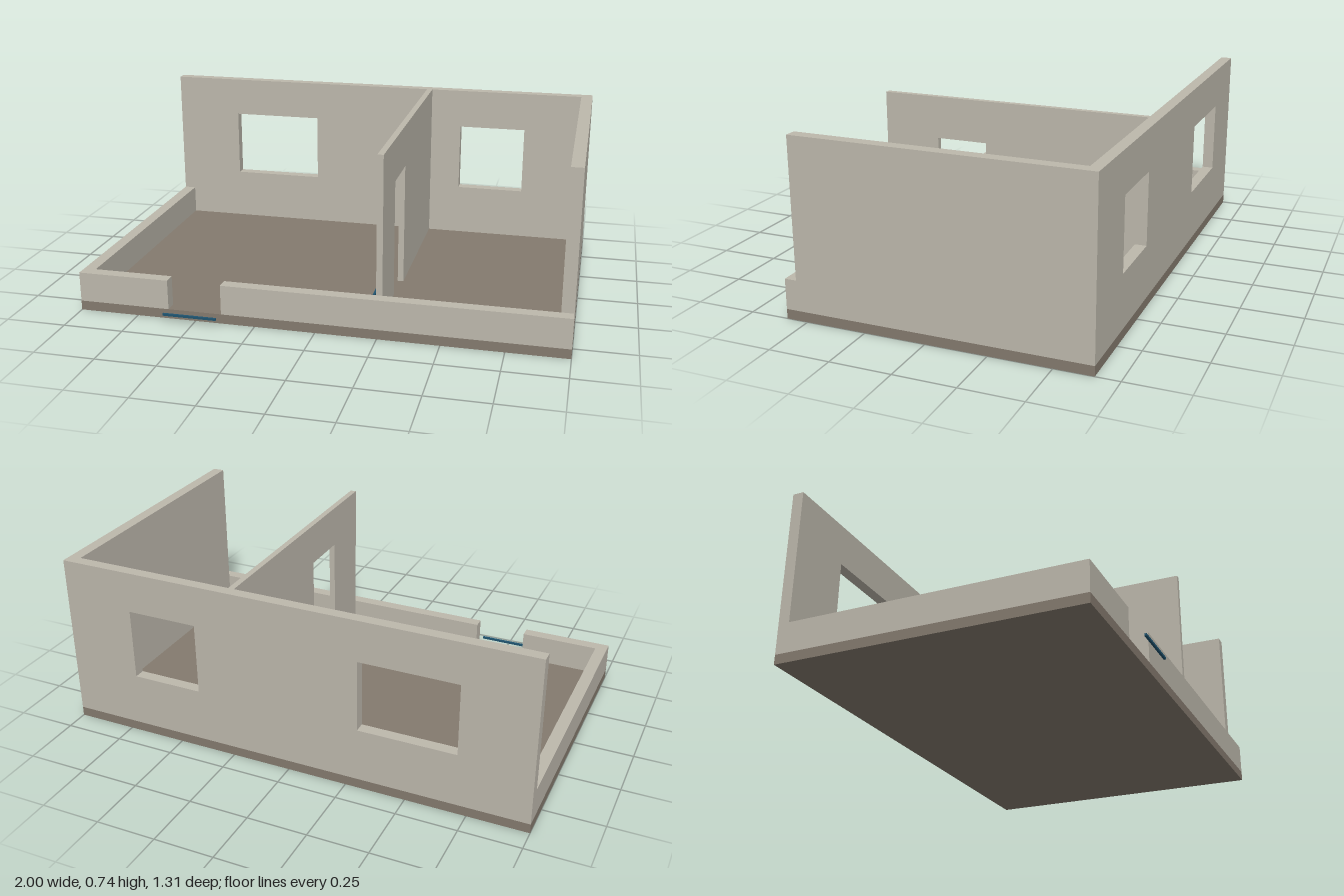
import * as THREE from 'three';

const wallMat = new THREE.MeshStandardMaterial({ name: 'wall plaster', color: 0xbdb8ac });
const floorMat = new THREE.MeshStandardMaterial({ name: 'floor brown', color: 0x847a6e });
const markerMat = new THREE.MeshStandardMaterial({ name: 'door marker blue', color: 0x1f5470 });

// Box given by its extents along each axis
function block(name, mat, [x0, x1], [y0, y1], [z0, z1]) {
  const mesh = new THREE.Mesh(new THREE.BoxGeometry(x1 - x0, y1 - y0, z1 - z0), mat);
  mesh.position.set((x0 + x1) / 2, (y0 + y1) / 2, (z0 + z1) / 2);
  mesh.name = name;
  return mesh;
}

function rectPoints([u0, u1], [v0, v1]) {
  return [[u0, v0], [u1, v0], [u1, v1], [u0, v1]].map(([u, v]) => new THREE.Vector2(u, v));
}

export function createModel() {
  const model = new THREE.Group();
  model.name = 'house cutaway';

  const floorTop = 0.04, low = 0.165, high = 0.737;
  const back = -0.655, backInner = -0.608, frontInner = 0.54, front = 0.59;
  const side = 0.95;
  const gap = [-0.615, -0.39];   // front entrance
  const door = [0.08, 0.3];      // doorway in the partition, along z

  // Floor slab
  model.add(block('floor', floorMat, [-1, 1], [0, floorTop], [back, front]));

  // Back wall with two window openings
  const backShape = new THREE.Shape(rectPoints([-1, 1], [floorTop, high]));
  for (const span of [[-0.705, -0.3], [0.4, 0.7]]) {
    backShape.holes.push(new THREE.Path(rectPoints(span, [0.265, 0.565])));
  }
  const backWall = new THREE.Mesh(
    new THREE.ExtrudeGeometry(backShape, { depth: backInner - back, bevelEnabled: false }), wallMat);
  backWall.position.z = back;
  backWall.name = 'backWall';
  model.add(backWall);

  // Full-height left wall and low right wall
  model.add(block('leftWall', wallMat, [side, 1], [floorTop, high], [backInner, frontInner]));
  model.add(block('rightLowWall', wallMat, [-1, -side], [floorTop, low], [backInner, frontInner]));

  // Low front wall, split by the entrance
  model.add(block('frontLowWallRight', wallMat, [-1, gap[0]], [floorTop, low], [frontInner, front]));
  model.add(block('frontLowWallLeft', wallMat, [gap[1], 1], [floorTop, low], [frontInner, front]));

  // Partition with a doorway reaching the floor
  const partShape = new THREE.Shape([
    [-frontInner, floorTop], [-door[1], floorTop], [-door[1], 0.56], [-door[0], 0.56],
    [-door[0], floorTop], [-backInner, floorTop], [-backInner, high], [-frontInner, high],
  ].map(([u, v]) => new THREE.Vector2(u, v)));
  const partition = new THREE.Mesh(
    new THREE.ExtrudeGeometry(partShape, { depth: 0.025, bevelEnabled: false }), wallMat);
  partition.rotation.y = Math.PI / 2;
  partition.position.x = 0.237;
  partition.name = 'partitionWall';
  model.add(partition);

  // Thin bars marking the two doors
  const barY = [0.04, 0.049];
  model.add(block('entranceMarker', markerMat, gap, barY, [0.646, 0.655]));
  model.add(block('doorwayMarker', markerMat, [0.167, 0.176], barY, door));

  return model;
}
